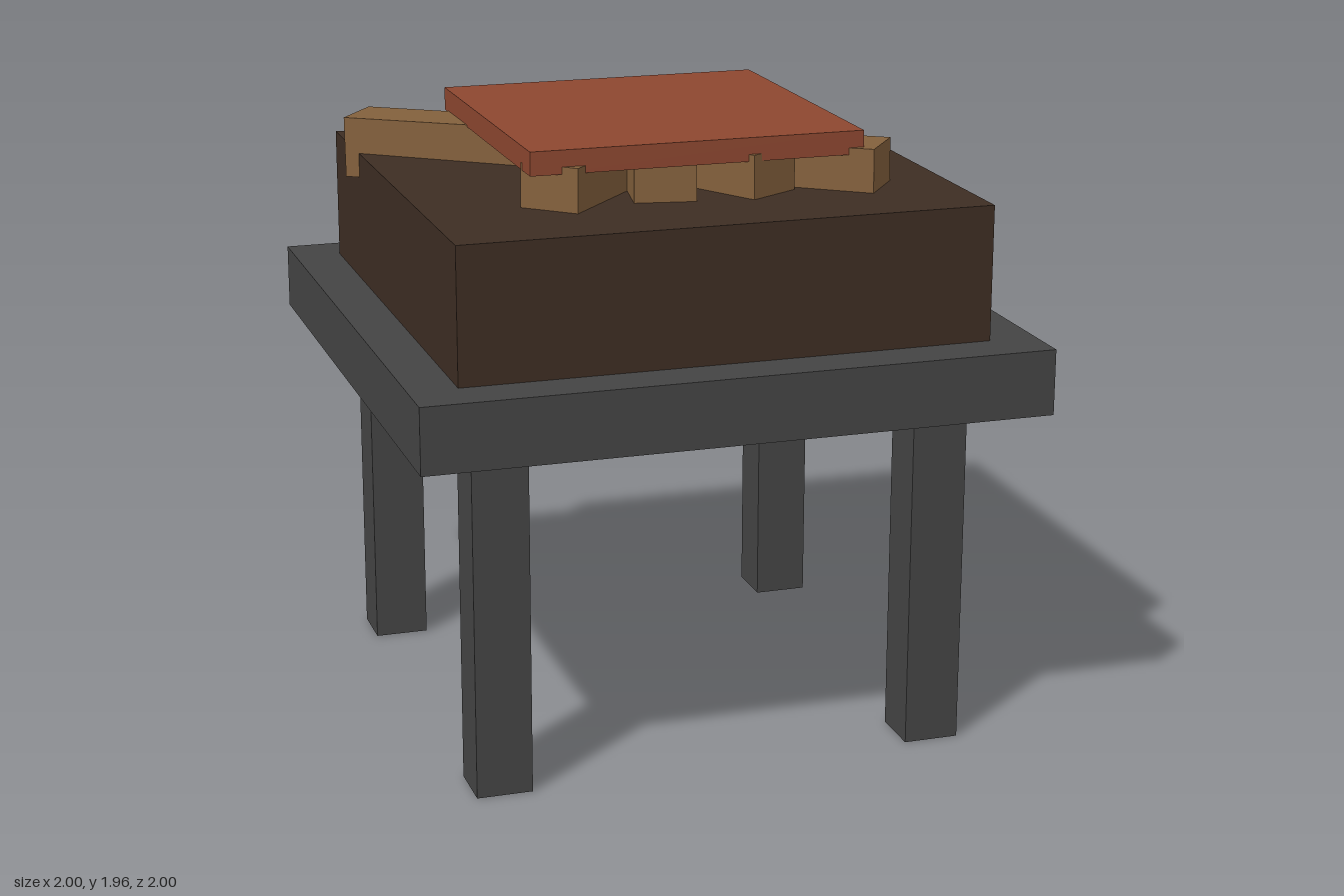
import * as THREE from 'three';

export function createModel() {
  const model = new THREE.Group();
  model.name = 'firePit';

  const mat = (name, color) => {
    const m = new THREE.MeshStandardMaterial({ color });
    m.name = name;
    return m;
  };
  const iron = mat('darkIron', 0x444444);
  const soil = mat('darkBrown', 0x3d2d23);
  const wood = mat('logBrown', 0x83603c);
  const rust = mat('rustRed', 0x8d4730);

  // Box given by its size and the height of its underside
  const box = (name, material, w, h, d, x, y, z) => {
    const mesh = new THREE.Mesh(new THREE.BoxGeometry(w, h, d), material);
    mesh.name = name;
    mesh.position.set(x, y + h / 2, z);
    model.add(mesh);
    return mesh;
  };

  // Stand
  for (const [sx, side] of [[-1, 'Right'], [1, 'Left']])
    for (const [sz, end] of [[-1, 'back'], [1, 'front']])
      box(`${end}${side}Leg`, iron, 0.178, 1.14, 0.174, sx * 0.711, 0, sz * 0.71);
  box('tableTop', iron, 2, 0.21, 2, 0, 1.13, 0);

  // Fire bed
  box('fireBed', soil, 1.694, 0.43, 1.694, 0, 1.34, 0);

  // Crossed logs, running from a lower back end to a higher front end
  const logs = [
    // back x, front x
    [-0.828, 0.612],
    [-0.38, 0.255],
    [0.092, -0.1],
    [0.535, -0.47],
  ];
  logs.forEach(([backX, frontX], i) => {
    const back = new THREE.Vector3(backX, 1.788, -0.58);
    const front = new THREE.Vector3(frontX, 1.81, 0.508);
    const log = box(`log${i + 1}`, wood, 0.195, 0.198, back.distanceTo(front), 0, 0, 0);
    log.position.copy(back).lerp(front, 0.5);
    log.lookAt(front);
  });

  // Plate resting on the logs
  box('topPlate', rust, 1.074, 0.075, 1.074, 0, 1.886, 0);

  return model;
}
